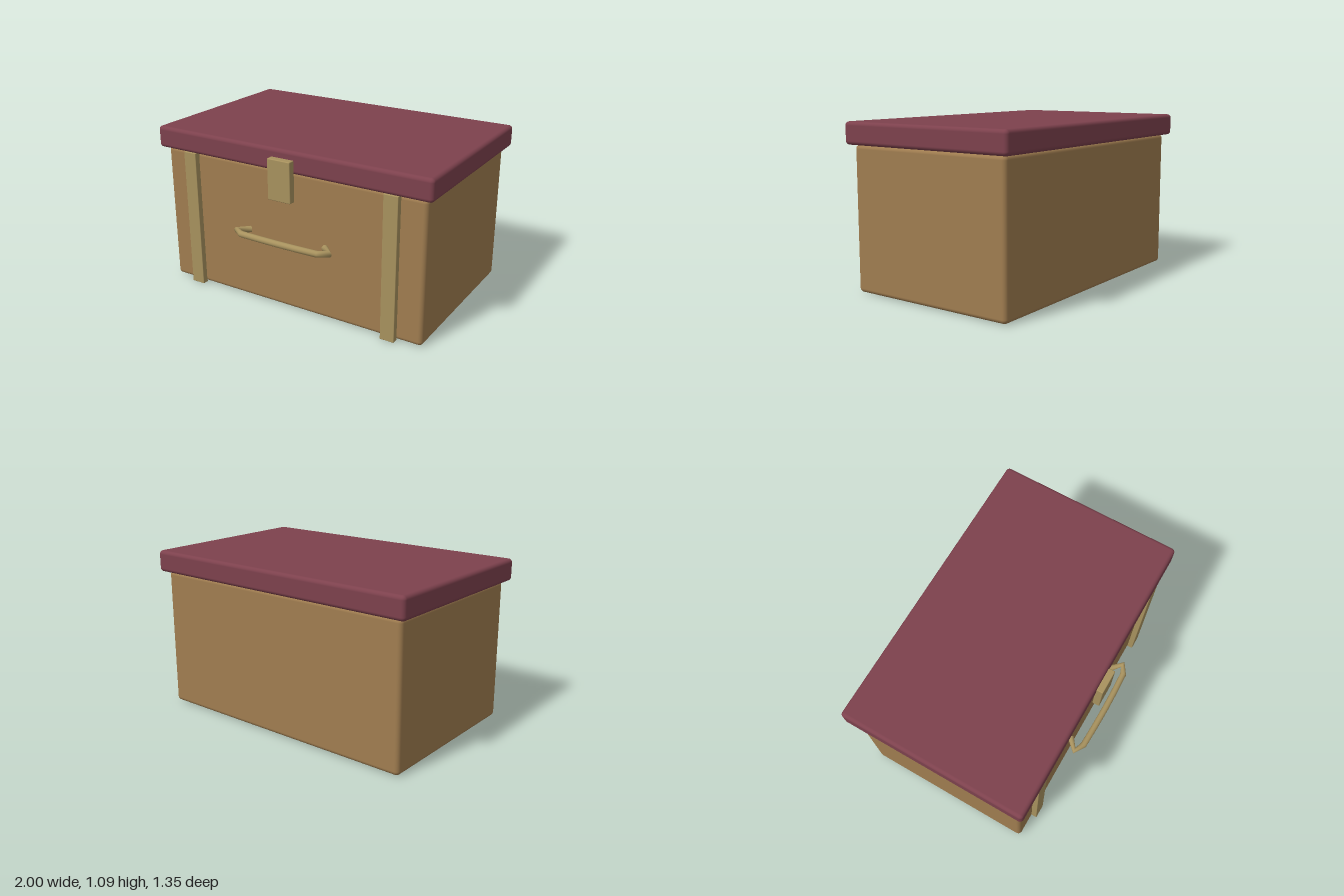
import * as THREE from 'three';
import { RoundedBoxGeometry } from 'three/addons/geometries/RoundedBoxGeometry.js';

const mat = (color) => new THREE.MeshStandardMaterial({ color });

// Path that passes straight through its points, so the tube bends at corners
class CornerPath extends THREE.Curve {
  constructor(points) {
    super();
    this.points = points;
  }
  getPointAt(t, target = new THREE.Vector3()) {
    const n = this.points.length - 1;
    const i = Math.min(Math.floor(t * n + 1e-6), n - 1);
    return target.lerpVectors(this.points[i], this.points[i + 1], t * n - i);
  }
  getPoint(t, target) {
    return this.getPointAt(t, target);
  }
  getTangentAt(t, target = new THREE.Vector3()) {
    const d = 0.02;
    const a = this.getPointAt(Math.max(0, t - d)), b = this.getPointAt(t);
    const c = this.getPointAt(Math.min(1, t + d));
    return target.copy(b.clone().sub(a).normalize()).add(c.sub(b).normalize()).normalize();
  }
}

export function createModel() {
  const group = new THREE.Group();
  const wood = mat(0xa07d50), red = mat(0x7d414d), brass = mat(0xa8925e);

  const add = (name, geometry, material) => {
    const mesh = new THREE.Mesh(geometry, material);
    mesh.name = name;
    group.add(mesh);
  };

  // Rounded box given by its [min, max] extents
  const box = (name, [x0, x1], [y0, y1], [z0, z1], radius, material) => {
    const g = new RoundedBoxGeometry(x1 - x0, y1 - y0, z1 - z0, 4, radius);
    g.translate((x0 + x1) / 2, (y0 + y1) / 2, (z0 + z1) / 2);
    add(name, g, material);
  };

  // Chest and overhanging lid
  box('body', [-0.955, 0.955], [0.003, 0.947], [-0.63, 0.54], 0.028, wood);
  box('lid', [-1, 1], [0.945, 1.09], [-0.675, 0.58], 0.025, red);

  // Front straps
  box('leftStrap', [0.692, 0.788], [0, 0.947], [0.535, 0.578], 0.004, brass);
  box('rightStrap', [-0.788, -0.692], [0, 0.947], [0.535, 0.578], 0.004, brass);

  // Latch plate hanging from the lid
  box('latch', [-0.083, 0.083], [0.768, 1.036], [0.575, 0.624], 0.006, brass);

  // Bent handle, hooked back into the front
  const half = [[0.28, 0.545], [0.35, 0.61], [0.287, 0.645], [0.14, 0.65]];
  const path = [...half.map(([x, z]) => [-x, z]), [0, 0.652], ...half.reverse()]
    .map(([x, z]) => new THREE.Vector3(x, 0.496, z));
  const handle = new THREE.TubeGeometry(new CornerPath(path), path.length - 1, 0.021, 12);
  brass.side = THREE.DoubleSide;
  add('handle', handle, brass);

  return group;
}
